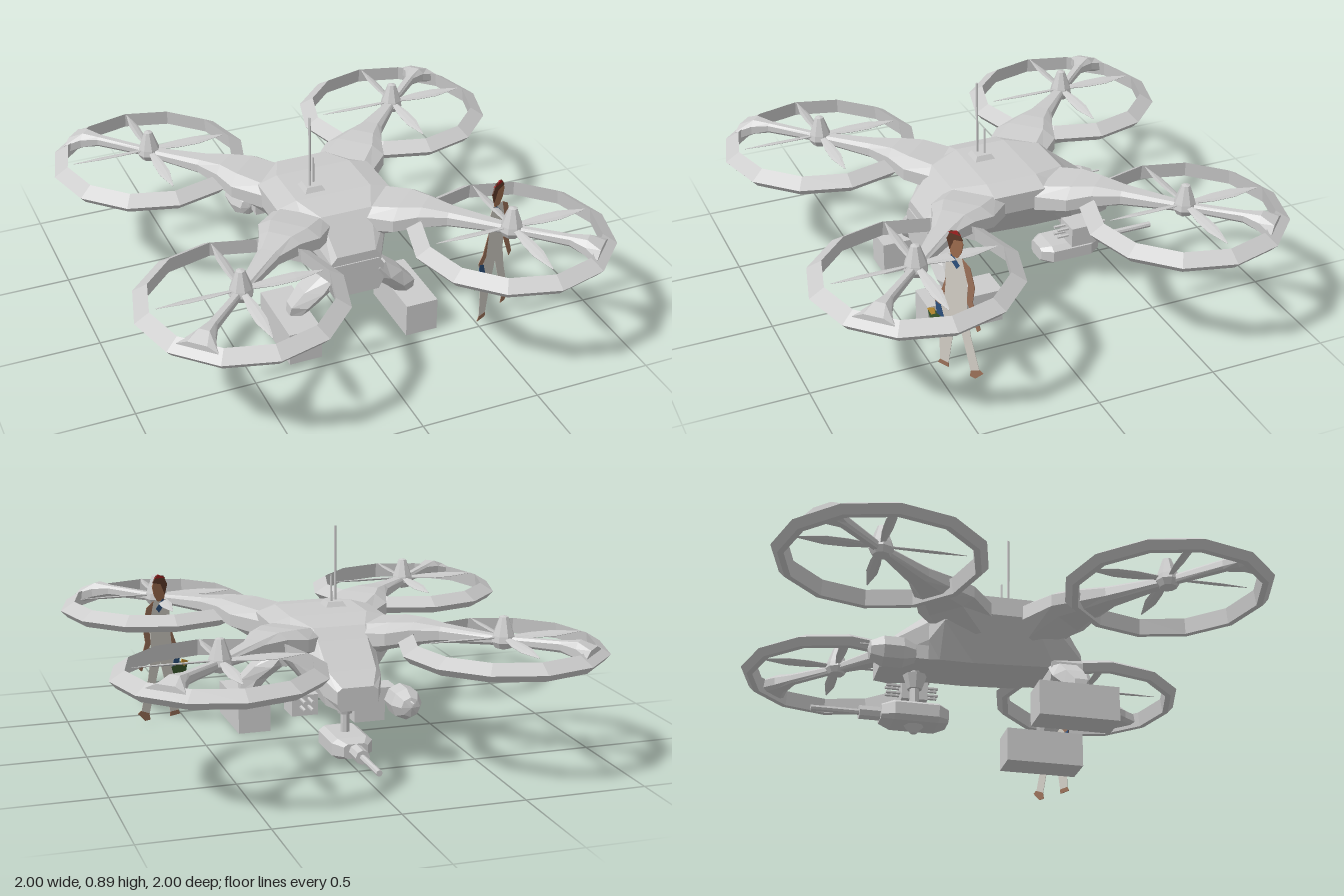
import * as THREE from 'three';

const paint = (color) => new THREE.MeshStandardMaterial({ color, flatShading: true });
const grey = paint(0xcccccc);

function add(parent, name, geometry, x = 0, y = 0, z = 0, material = grey) {
  const mesh = new THREE.Mesh(geometry, material);
  mesh.name = name;
  mesh.position.set(x, y, z);
  parent.add(mesh);
  return mesh;
}

// Closed skin over a row of equal-length rings, always wound outwards
function loft(rings) {
  const tris = [], n = rings[0].length;
  for (let i = 0; i < rings.length - 1; i++) {
    for (let j = 0; j < n; j++) {
      const k = (j + 1) % n, a = rings[i], b = rings[i + 1];
      tris.push([a[j], a[k], b[k]], [a[j], b[k], b[j]]);
    }
  }
  const last = rings[rings.length - 1];
  for (let j = 1; j < n - 1; j++) {
    tris.push([rings[0][0], rings[0][j + 1], rings[0][j]], [last[0], last[j], last[j + 1]]);
  }
  let volume = 0;
  for (const [a, b, c] of tris) volume += a.dot(b.clone().cross(c));
  const points = tris.flatMap(([a, b, c]) => (volume < 0 ? [a, c, b] : [a, b, c]));
  const geometry = new THREE.BufferGeometry().setFromPoints(points);
  geometry.computeVertexNormals();
  return geometry;
}

// Eight-sided section across z: half widths at top, middle, bottom, then four heights
function section([z, wt, wm, wb, yt, yu, yl, yb]) {
  const right = [[wt, yt], [wm, yu], [wm, yl], [wb, yb]];
  const left = right.map(([x, y]) => [-x, y]).reverse();
  return [...right, ...left].map(([x, y]) => new THREE.Vector3(x, y, z));
}
const hull = (rows) => loft(rows.map(section));

// Limb of horizontal six-sided rings: centre x, y, z, then radius along x and along z
function limb(rows) {
  return loft(rows.map(([x, y, z, rx, rz]) => Array.from({ length: 6 }, (_, i) => {
    const a = ((i + 0.5) / 6) * Math.PI * 2;
    return new THREE.Vector3(x + Math.cos(a) * rx, y, z + Math.sin(a) * rz);
  })));
}

const turned = (profile, sides) =>
  new THREE.LatheGeometry(profile.map(([r, y]) => new THREE.Vector2(r, y)), sides);

// Cylinder lying along z
function rod(radius, length, sides = 8) {
  return new THREE.CylinderGeometry(radius, radius, length, sides).rotateX(Math.PI / 2);
}

// Ducted rotor with its inner and outer struts, built along +z
function rotorArm(sx, sz) {
  const arm = new THREE.Group();
  arm.name = 'rotorArm';
  const strut = new THREE.Group();
  strut.name = 'struts';
  strut.rotation.y = Math.atan2(sx, sz);
  arm.add(strut);
  add(strut, 'innerStrut', hull([
    [0.22, 0.09, 0.13, 0.08, 0.53, 0.5, 0.44, 0.38],
    [0.36, 0.08, 0.135, 0.08, 0.55, 0.515, 0.465, 0.44],
    [0.45, 0.05, 0.09, 0.05, 0.555, 0.53, 0.48, 0.46],
    [0.56, 0.03, 0.048, 0.03, 0.545, 0.53, 0.495, 0.48],
    [0.82, 0.012, 0.02, 0.012, 0.53, 0.52, 0.505, 0.495],
  ]));
  add(strut, 'outerStrut', hull([
    [0.82, 0.01, 0.016, 0.01, 0.53, 0.52, 0.505, 0.495],
    [1.06, 0.012, 0.02, 0.012, 0.54, 0.53, 0.505, 0.495],
    [1.13, 0.022, 0.045, 0.022, 0.548, 0.525, 0.49, 0.48],
    [1.19, 0.04, 0.085, 0.06, 0.525, 0.505, 0.47, 0.46],
  ]));

  const rotor = new THREE.Group();
  rotor.name = 'rotor';
  rotor.position.set(sx * 0.577, 0, sz * 0.577);
  arm.add(rotor);
  add(rotor, 'ductRing', turned([[0.37, 0.45], [0.395, 0.45], [0.422, 0.48], [0.362, 0.517], [0.37, 0.45]], 12));
  add(rotor, 'hub', turned([[0, 0.475], [0.035, 0.485], [0.05, 0.51], [0.045, 0.535], [0.018, 0.61], [0, 0.615]], 8));
  for (let i = 0; i < 4; i++) {
    const blade = add(rotor, 'blade', hull([
      [0.03, 0.006, 0.01, 0.006, 0.004, 0.002, -0.002, -0.004],
      [0.13, 0.01, 0.022, 0.01, 0.004, 0.001, -0.001, -0.004],
      [0.22, 0.01, 0.023, 0.01, 0.004, 0.001, -0.001, -0.004],
      [0.335, 0.001, 0.002, 0.001, 0.001, 0.0005, -0.0005, -0.001],
    ]), 0, 0.525, 0);
    blade.rotation.set(0, i * Math.PI / 2, 0.3, 'YXZ');
  }
  return arm;
}

// Flat cut-out figure standing at an angle beside the craft
function worker() {
  const person = new THREE.Group();
  person.name = 'worker';
  person.position.set(0.59, 0, 0.425);
  person.rotation.y = 0.464;
  const part = (name, color, depth, outline) => {
    const shape = new THREE.Shape(outline.map(([x, y]) => new THREE.Vector2((x - 0.59) * 1.118, y)));
    add(person, name, new THREE.ExtrudeGeometry(shape, { depth, bevelEnabled: false }), 0, 0, -depth / 2, paint(color));
  };
  part('overalls', 0xd0ccc4, 0.002, [
    [0.55, 0.5], [0.565, 0.535], [0.625, 0.535], [0.645, 0.45], [0.645, 0.3], [0.66, 0.2], [0.7, 0.05], [0.66, 0.03],
    [0.625, 0.17], [0.6, 0.26], [0.575, 0.15], [0.555, 0.02], [0.515, 0.02], [0.515, 0.2], [0.53, 0.32], [0.545, 0.4]]);
  part('frontArm', 0x9a7058, 0.003, [[0.625, 0.535], [0.66, 0.51], [0.68, 0.43], [0.67, 0.36], [0.705, 0.25],
    [0.69, 0.235], [0.645, 0.35], [0.65, 0.43]]);
  part('backArm', 0x9a7058, 0.003, [[0.55, 0.42], [0.52, 0.33], [0.495, 0.3], [0.505, 0.26], [0.54, 0.31]]);
  part('frontShoe', 0x9a7058, 0.003, [[0.66, 0.04], [0.7, 0.06], [0.715, 0.05], [0.68, 0.01], [0.655, 0.01]]);
  part('backShoe', 0x9a7058, 0.003, [[0.515, 0.022], [0.555, 0.022], [0.555, 0.002], [0.505, 0.002]]);
  part('strap', 0x2c4f7c, 0.004, [[0.565, 0.52], [0.58, 0.54], [0.615, 0.5], [0.6, 0.48]]);
  part('head', 0x9a6a4c, 0.004, [[0.575, 0.53], [0.57, 0.56], [0.56, 0.6], [0.575, 0.635], [0.61, 0.64],
    [0.63, 0.6], [0.622, 0.56], [0.605, 0.53]]);
  part('hair', 0x5c3828, 0.005, [[0.57, 0.555], [0.557, 0.6], [0.575, 0.64], [0.61, 0.645], [0.628, 0.615], [0.59, 0.605]]);
  part('headband', 0xa02020, 0.006, [[0.565, 0.63], [0.6, 0.648], [0.618, 0.635], [0.6, 0.632]]);
  part('bag', 0x38562c, 0.004, [[0.463, 0.23], [0.475, 0.18], [0.53, 0.17], [0.545, 0.225], [0.5, 0.24]]);
  part('bagContents', 0x2c4f7c, 0.005, [[0.505, 0.235], [0.5, 0.29], [0.525, 0.28], [0.54, 0.225]]);
  part('tool', 0xc09030, 0.005, [[0.46, 0.235], [0.49, 0.25], [0.5, 0.23], [0.48, 0.215]]);
  return person;
}

export function createModel() {
  const model = new THREE.Group();
  model.name = 'quadRotorCraft';

  // Body with sloping nose and tail
  add(model, 'body', hull([
    [0.35, 0.085, 0.11, 0.09, 0.4, 0.37, 0.35, 0.32],
    [0.24, 0.11, 0.18, 0.1, 0.535, 0.5, 0.43, 0.31],
    [0.11, 0.165, 0.25, 0.12, 0.555, 0.53, 0.45, 0.295],
    [-0.11, 0.165, 0.25, 0.12, 0.555, 0.53, 0.45, 0.285],
    [-0.25, 0.11, 0.21, 0.12, 0.535, 0.49, 0.42, 0.285],
    [-0.3, 0.105, 0.14, 0.12, 0.49, 0.44, 0.36, 0.28],
    [-0.42, 0.1, 0.12, 0.11, 0.395, 0.37, 0.3, 0.26],
    [-0.49, 0.065, 0.085, 0.07, 0.345, 0.33, 0.28, 0.25],
  ]));

  for (const sx of [-1, 1]) for (const sz of [-1, 1]) model.add(rotorArm(sx, sz));

  // Chin block carrying the forward legs, which end in box feet
  add(model, 'chin', hull([
    [0.355, 0.1, 0.12, 0.1, 0.36, 0.33, 0.25, 0.21],
    [0.22, 0.1, 0.12, 0.1, 0.36, 0.33, 0.28, 0.25],
  ]));
  for (const s of [-1, 1]) {
    add(model, 'leg', limb([
      [s * 0.1, 0.31, 0.285, 0.05, 0.075], [s * 0.15, 0.25, 0.29, 0.08, 0.075],
      [s * 0.215, 0.19, 0.3, 0.07, 0.055], [s * 0.24, 0.14, 0.29, 0.045, 0.04],
    ]));
    add(model, 'foot', new THREE.BoxGeometry(0.14, 0.145, 0.33), s * 0.26, 0.0725, 0.275);
  }

  // Roof antennas
  add(model, 'antennaBase', new THREE.CylinderGeometry(0.045, 0.064, 0.022, 4).rotateY(Math.PI / 4), -0.067, 0.564, 0.035);
  add(model, 'tallAntenna', new THREE.CylinderGeometry(0.005, 0.006, 0.32, 6), -0.08, 0.73, 0.048);
  add(model, 'shortAntenna', new THREE.CylinderGeometry(0.004, 0.005, 0.12, 6), -0.055, 0.63, 0.025);

  // Hanging turret under the tail
  const turret = new THREE.Group();
  turret.name = 'turret';
  turret.position.set(0, 0.075, -0.33);
  model.add(turret);
  add(turret, 'shaft', new THREE.CylinderGeometry(0.02, 0.02, 0.2, 8), 0, 0.11, 0);
  add(turret, 'collar', new THREE.CylinderGeometry(0.05, 0.03, 0.06, 8), 0, 0.15, 0);
  add(turret, 'turretBody', hull([
    [0.135, 0.035, 0.05, 0.035, 0.03, 0.02, -0.02, -0.03],
    [0.09, 0.06, 0.085, 0.06, 0.042, 0.025, -0.025, -0.042],
    [-0.09, 0.06, 0.085, 0.06, 0.042, 0.025, -0.025, -0.042],
    [-0.14, 0.035, 0.05, 0.035, 0.03, 0.02, -0.02, -0.03],
  ]));
  add(turret, 'lowerCone', new THREE.CylinderGeometry(0.045, 0.012, 0.035, 8), 0, -0.055, 0);
  add(turret, 'barrelSleeve', rod(0.03, 0.09), 0, 0, -0.18);
  add(turret, 'barrel', rod(0.013, 0.22), 0, 0, -0.31);

  // Gun pod on the right of the tail
  add(model, 'podMount', new THREE.BoxGeometry(0.12, 0.06, 0.1), -0.13, 0.28, -0.36);
  add(model, 'gunPod', turned([[0, -0.1], [0.04, -0.09], [0.065, -0.04], [0.065, 0.04], [0.04, 0.09], [0, 0.1]], 8)
    .rotateX(Math.PI / 2), -0.2, 0.262, -0.46);
  add(model, 'podBarrel', rod(0.005, 0.22, 6), -0.2, 0.285, -0.48);

  // Gun box on the left of the tail with a bundle of thin barrels
  add(model, 'gunBox', new THREE.BoxGeometry(0.11, 0.085, 0.11), 0.178, 0.25, -0.305);
  for (const x of [0.162, 0.194]) for (const y of [0.245, 0.277]) {
    add(model, 'gunBarrel', rod(0.007, 0.22, 6), x, y, -0.31);
  }

  model.add(worker());
  return model;
}
